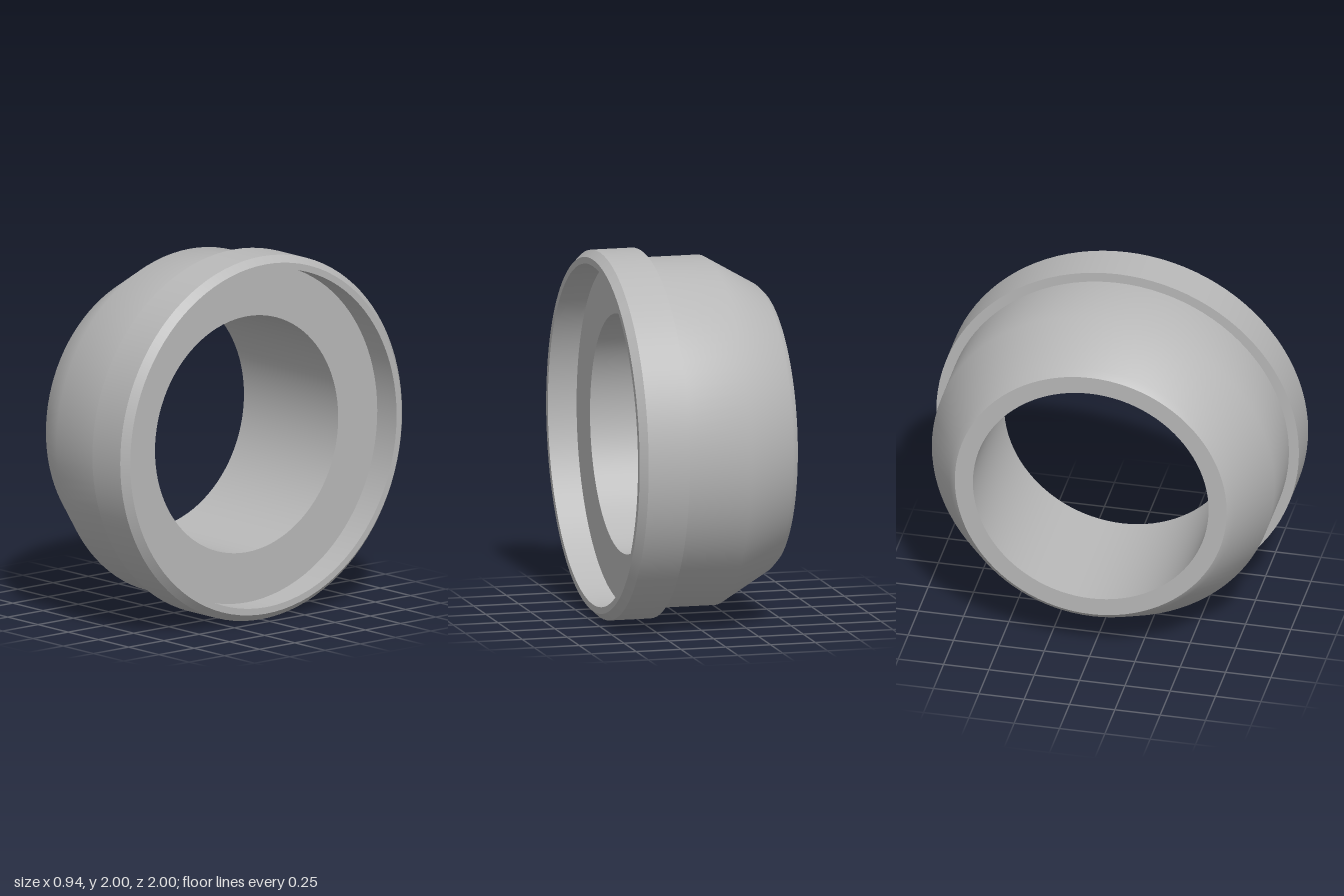
import * as THREE from 'three';

export function createModel() {
  const group = new THREE.Group();
  const grey = new THREE.MeshStandardMaterial({ color: 0xb8b8b8 });
  grey.name = 'plain grey';

  // Each strip is a profile of [x, radius] turned about the x axis;
  // strips are smooth inside and sharp where they meet.
  const strip = (name, ...profile) => {
    const points = profile.map(([x, r]) => new THREE.Vector2(r, x));
    const mesh = new THREE.Mesh(new THREE.LatheGeometry(points, 96), grey);
    mesh.name = name;
    mesh.rotation.z = -Math.PI / 2;
    mesh.position.y = 1;
    group.add(mesh);
  };

  // Tapered body
  strip('endFace', [-0.47, 0.65], [-0.47, 0.75]);
  strip('taperedBody', [-0.47, 0.75], [-0.435, 0.785], [-0.16, 0.945], [0.2, 0.945]);

  // Collar with chamfered lip
  strip('collarShoulder', [0.2, 0.945], [0.2, 1]);
  strip('collar', [0.2, 1], [0.43, 1]);
  strip('collarChamfer', [0.43, 1], [0.47, 0.963]);
  strip('collarLip', [0.47, 0.963], [0.47, 0.927]);

  // Recess and through bore
  strip('recessWall', [0.47, 0.927], [0.31, 0.927]);
  strip('recessFloor', [0.31, 0.927], [0.31, 0.65]);
  strip('bore', [0.31, 0.65], [-0.47, 0.65]);

  return group;
}
